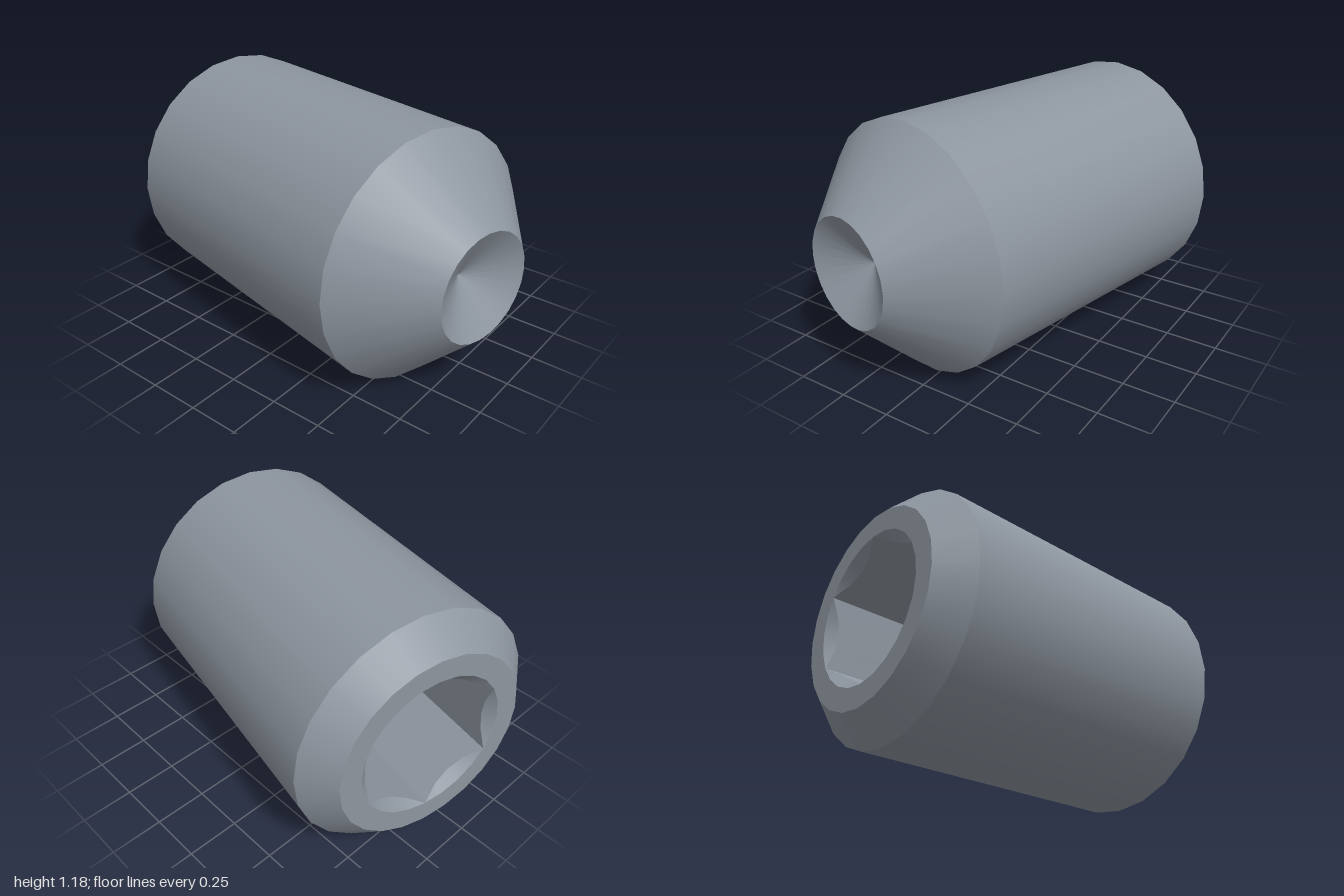
import * as THREE from 'three';

const SIDES = 24;
const BODY_R = 0.592, TIP_R = 0.254, BACK_R = 0.46, SOCKET_R = 0.355;
const BACK = -0.922, SHOULDER = -0.789, CONE = 0.632, TIP = 0.969;
const SOCKET_FLOOR = BACK + 0.75;

// One smooth ring of surface between two [radius, height] points
function band(a, b) {
  return new THREE.LatheGeometry([new THREE.Vector2(...a), new THREE.Vector2(...b)], SIDES);
}

// Radius of the hexagonal socket in direction phi (flats at multiples of 60 degrees)
function hexRadius(phi) {
  const step = Math.PI / 3;
  const off = phi - Math.round(phi / step) * step;
  return SOCKET_R * Math.cos(Math.PI / 6) / Math.cos(off);
}

// Move the vertices on one level of a band onto the hexagon, at a height given by a rule
function toHex(geometry, level, heightAt) {
  const p = geometry.attributes.position;
  for (let i = 0; i < p.count; i++) {
    if (Math.abs(p.getY(i) - level) > 1e-5) continue;
    const phi = Math.atan2(p.getX(i), p.getZ(i));
    const r = hexRadius(phi);
    p.setXYZ(i, r * Math.sin(phi), heightAt(r), r * Math.cos(phi));
  }
  return geometry;
}

export function createModel() {
  const steel = new THREE.MeshStandardMaterial({ color: 0x8d959f });
  steel.name = 'steel grey';
  const screw = new THREE.Group();
  screw.name = 'setScrew';

  const add = (name, geometry) => {
    const mesh = new THREE.Mesh(geometry, steel);
    mesh.name = name;
    screw.add(mesh);
  };

  // Outer skin, from the socket end to the cupped tip
  add('backFace', band([SOCKET_R, BACK], [BACK_R, BACK]));
  add('backChamfer', band([BACK_R, BACK], [BODY_R, SHOULDER]));
  add('barrel', band([BODY_R, SHOULDER], [BODY_R, CONE]));
  add('tipCone', band([BODY_R, CONE], [TIP_R, TIP]));
  add('tipCup', band([TIP_R, TIP], [0, TIP - 0.147]));

  // Hex socket: countersunk mouth with scalloped edge, flat walls and floor
  const mouthHeight = (r) => BACK + SOCKET_R - r;
  const inner = SOCKET_R - 0.05;
  add('socketMouth', toHex(band([inner, BACK + 0.05], [SOCKET_R, BACK]), BACK + 0.05, mouthHeight));

  let walls = band([SOCKET_R, SOCKET_FLOOR], [SOCKET_R, BACK]);
  toHex(walls, SOCKET_FLOOR, () => SOCKET_FLOOR);
  toHex(walls, BACK, mouthHeight);
  walls = walls.toNonIndexed();
  walls.computeVertexNormals();
  add('socketWalls', walls);

  // Only the outer edge of the floor follows the hexagon; its centre stays put
  const floor = new THREE.CircleGeometry(SOCKET_R, 6, Math.PI / 6);
  floor.rotateX(Math.PI / 2);
  floor.rotateY(0);
  floor.translate(0, SOCKET_FLOOR, 0);
  // Corners sit at 30 + 60k degrees from z, a right angle from the circle's start
  floor.rotateY(Math.PI / 2);
  add('socketFloor', floor);

  // Lay the screw on its side, turned 12 degrees towards the front
  const c = Math.cos(THREE.MathUtils.degToRad(12)), s = Math.sin(THREE.MathUtils.degToRad(12));
  const basis = new THREE.Matrix4().makeBasis(
    new THREE.Vector3(0, 1, 0), new THREE.Vector3(c, 0, s), new THREE.Vector3(s, 0, -c));
  screw.quaternion.setFromRotationMatrix(basis);
  screw.position.set(0, BODY_R, 0.014);

  const model = new THREE.Group();
  model.name = 'model';
  model.add(screw);
  return model;
}
